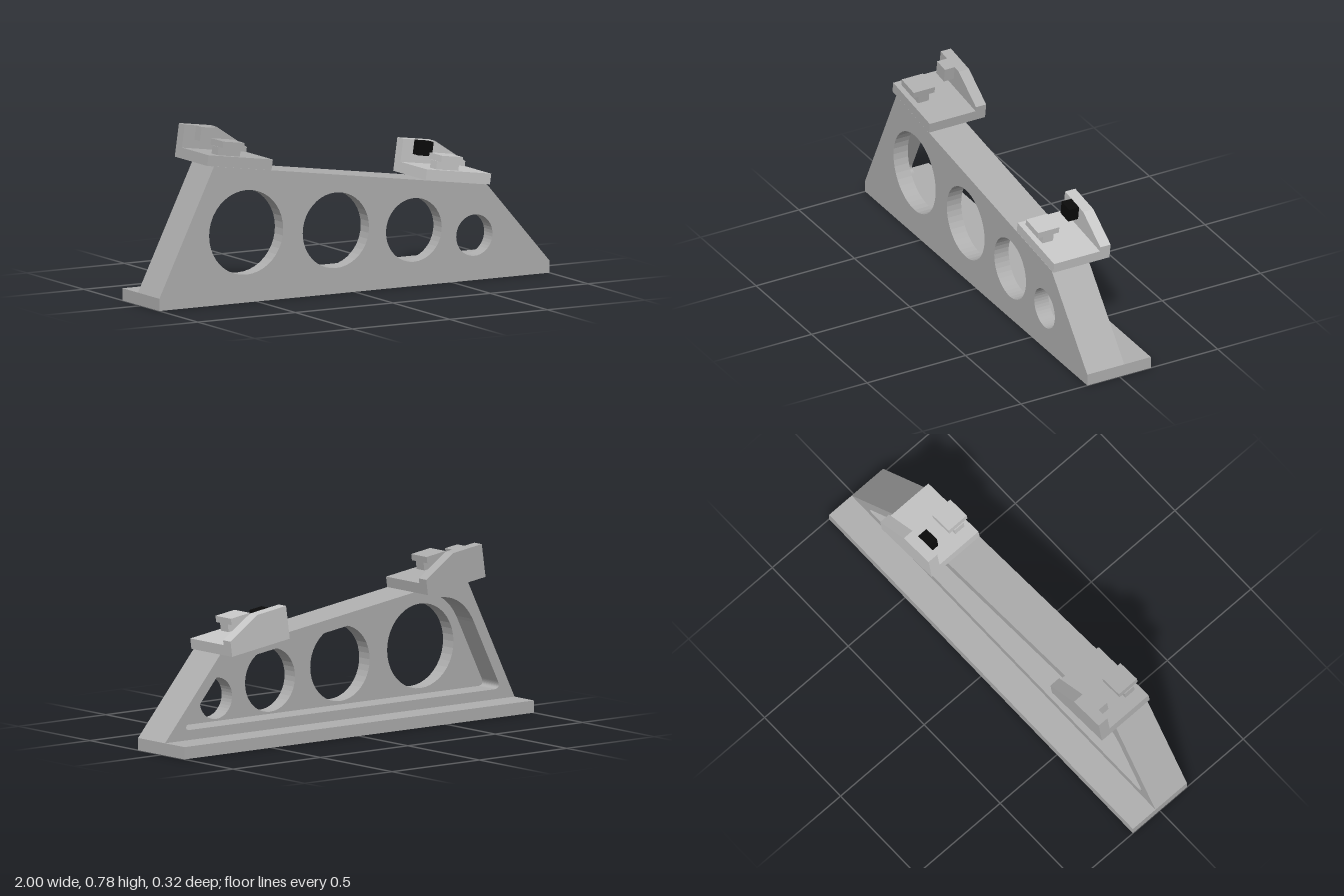
import * as THREE from 'three';

const FRONT = 0.163;

const body = new THREE.MeshStandardMaterial({ color: 0xb0b0b0 });
body.name = 'grey';
const pale = new THREE.MeshStandardMaterial({ color: 0xc8c8c8 });
pale.name = 'pale grey';
const black = new THREE.MeshStandardMaterial({ color: 0x0a0a0a });
black.name = 'black';

function polygon(points) {
  return new THREE.Shape(points.map(([x, y]) => new THREE.Vector2(x, y)));
}

function circle(x, y, r) {
  return new THREE.Path().absarc(x, y, r, 0, Math.PI * 2, true);
}

// closed path whose corners [x, y, cut] are rounded over the cut length
function roundedPath(corners) {
  const path = new THREE.Path();
  const n = corners.length;
  corners.forEach(([x, y, cut], i) => {
    const p = new THREE.Vector2(x, y);
    const toward = (c) => new THREE.Vector2(c[0], c[1]).sub(p).setLength(cut).add(p);
    const a = toward(corners[(i + n - 1) % n]);
    const b = toward(corners[(i + 1) % n]);
    if (i === 0) path.moveTo(a.x, a.y);
    else path.lineTo(a.x, a.y);
    path.quadraticCurveTo(x, y, b.x, b.y);
  });
  path.closePath();
  return path;
}

function extrude(shape, z0, z1) {
  const geometry = new THREE.ExtrudeGeometry(shape, { depth: z1 - z0, bevelEnabled: false, curveSegments: 20 });
  return geometry.translate(0, 0, z0);
}

function add(parent, name, geometry, material) {
  const mesh = new THREE.Mesh(geometry, material);
  mesh.name = name;
  parent.add(mesh);
  return mesh;
}

function addBox(parent, name, material, [x0, x1], [y0, y1], [z0, z1]) {
  const geometry = new THREE.BoxGeometry(x1 - x0, y1 - y0, z1 - z0);
  geometry.translate((x0 + x1) / 2, (y0 + y1) / 2, (z0 + z1) / 2);
  return add(parent, name, geometry, material);
}

// cradle in its own tilted frame, origin at the lower right end
function createCradle(name, material, blockMaterial) {
  const cradle = new THREE.Group();
  cradle.name = name;
  addBox(cradle, 'cradleFloor', material, [-0.333, 0], [0, 0.048], [-0.07, FRONT]);
  const wall = polygon([[-0.333, 0], [0, 0], [0, 0.07], [-0.168, 0.151], [-0.333, 0.151]]);
  add(cradle, 'cradleWall', extrude(wall, -0.122, -0.07), material);
  // T-shaped clip
  addBox(cradle, 'clipStem', material, [-0.27, -0.155], [0.048, 0.084], [0.082, 0.136]);
  addBox(cradle, 'clipCap', material, [-0.265, -0.155], [0.084, 0.113], [0.055, FRONT]);
  // stop block carried by the wall
  addBox(cradle, 'stopBlock', blockMaterial, [-0.275, -0.205], [0.087, 0.151], [-0.07, -0.02]);
  cradle.rotation.z = -Math.atan(0.1436);
  return cradle;
}

export function createModel() {
  const model = new THREE.Group();
  model.name = 'slopedStand';
  const outline = [[-1, 0.055], [1, 0.055], [0.68, 0.424], [-0.72, 0.625]];

  // front web with four round openings
  const web = polygon(outline);
  for (const [x, y, r] of [
    [-0.555, 0.315, 0.19], [-0.095, 0.285, 0.17], [0.305, 0.252, 0.143], [0.615, 0.202, 0.093],
  ]) web.holes.push(circle(x, y, r));
  add(model, 'web', extrude(web, 0.09, FRONT), body);

  // rim around the rear pocket
  const rim = polygon(outline);
  rim.holes.push(roundedPath([
    [-0.922, 0.1, 0.04], [-0.693, 0.566, 0.17], [0.659, 0.372, 0.08], [0.895, 0.1, 0.04],
  ]));
  add(model, 'rim', extrude(rim, -0.025, 0.09), body);

  // foot slab, with round recesses underneath
  const foot = polygon([[-1, -FRONT], [1, -FRONT], [1, 0.16], [-1, 0.16]]);
  for (const x of [-0.85, 0.85]) foot.holes.push(circle(x, 0, 0.116));
  const footGeometry = extrude(foot, 0, 0.03).rotateX(-Math.PI / 2);
  add(model, 'footLower', footGeometry, body);
  addBox(model, 'footUpper', body, [-1, 1], [0.03, 0.055], [-0.16, FRONT]);

  // two matching cradles on the slope
  const high = createCradle('highCradle', body, body);
  high.position.set(-0.425, 0.583, 0);
  const low = createCradle('lowCradle', pale, black);
  low.position.set(0.695, 0.423, 0);
  model.add(high, low);
  return model;
}
